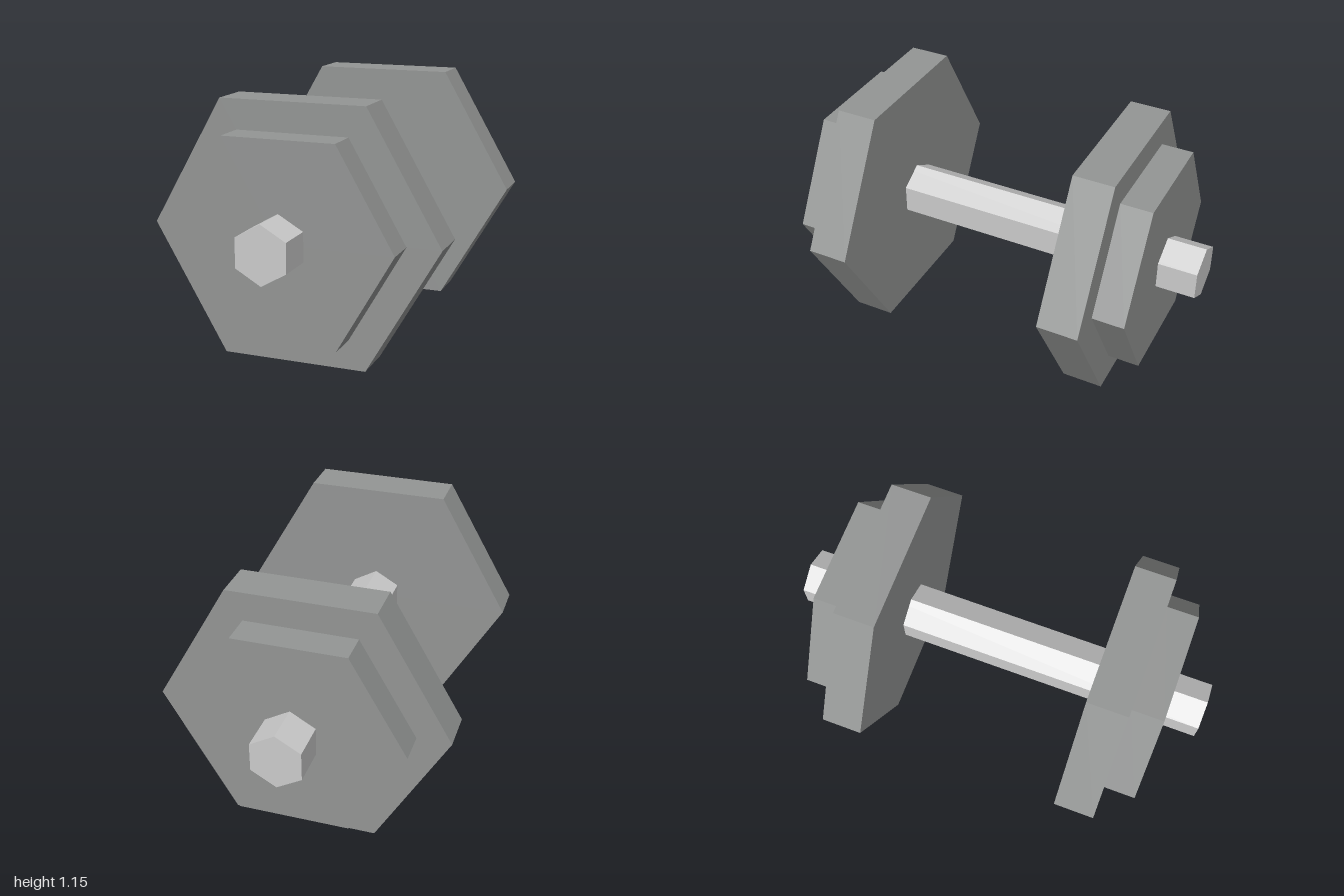
import * as THREE from 'three';

const AXIS_Y = 0.577;

// Hexagonal prism lying along z between z0 and z1
function hexPrism(name, radius, z0, z1, turn, material) {
  const geometry = new THREE.CylinderGeometry(radius, radius, z1 - z0, 6, 1, false, turn);
  geometry.rotateX(Math.PI / 2);
  const mesh = new THREE.Mesh(geometry, material);
  mesh.name = name;
  mesh.position.set(0, AXIS_Y, (z0 + z1) / 2);
  return mesh;
}

export function createModel() {
  const model = new THREE.Group();
  model.name = 'dumbbell';
  const barMaterial = new THREE.MeshStandardMaterial({ color: 0xcccccc, flatShading: true });
  const plateMaterial = new THREE.MeshStandardMaterial({ color: 0x939594, flatShading: true });

  // Bar with a corner pointing up
  model.add(hexPrism('bar', 0.131, -1, 1, 0, barMaterial));

  // Weights at both ends: large inner plate and smaller outer plate, flat side up
  const flatUp = Math.PI / 6;
  const ends = [
    ['front', [0.487, 0.677], [0.677, 0.826]],
    ['back', [-0.668, -0.477], [-0.817, -0.668]],
  ];
  for (const [end, inner, outer] of ends) {
    const weight = new THREE.Group();
    weight.name = end + 'Weight';
    weight.add(
      hexPrism('innerPlate', 0.665, ...inner, flatUp, plateMaterial),
      hexPrism('outerPlate', 0.511, ...outer, flatUp, plateMaterial),
    );
    model.add(weight);
  }
  return model;
}
